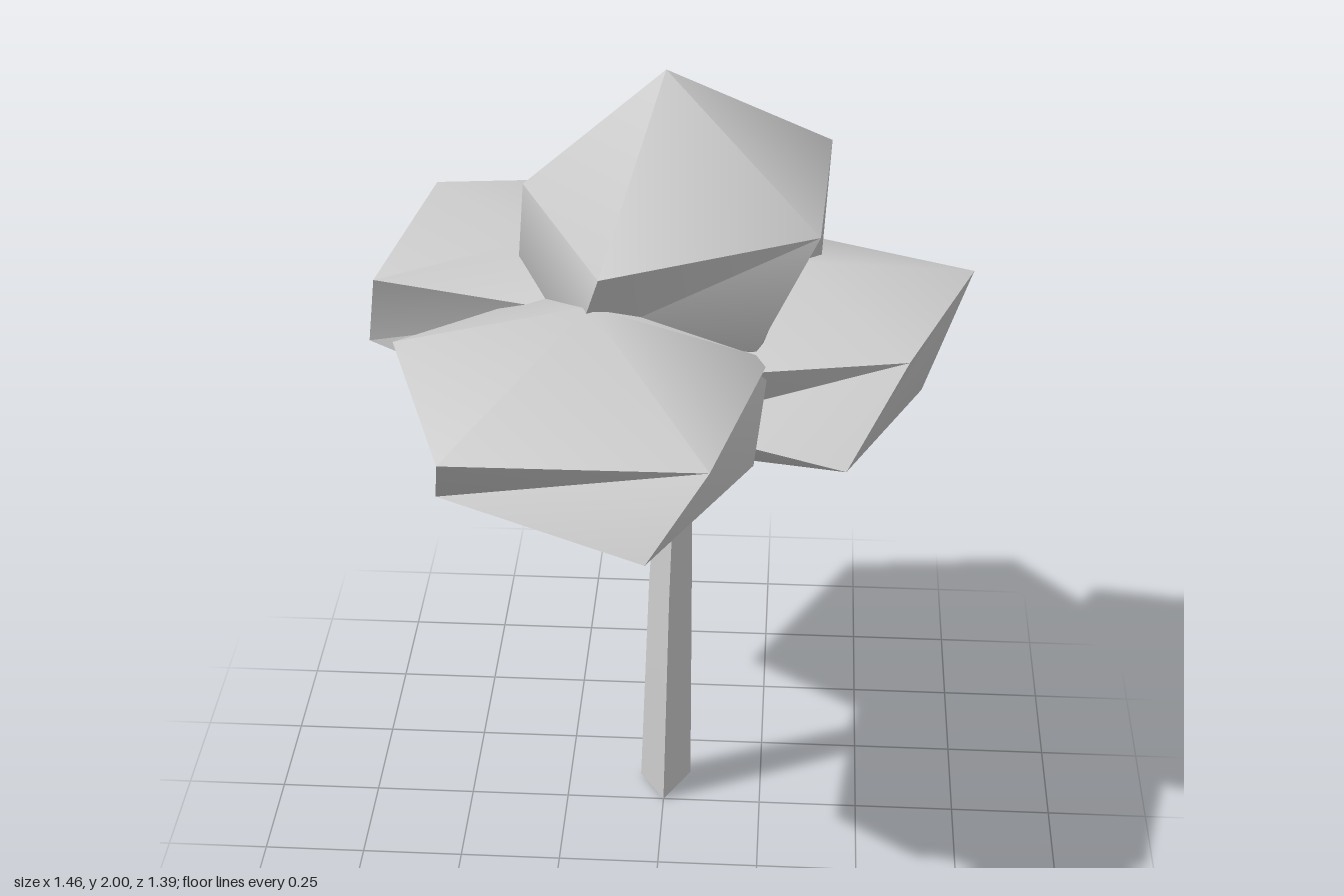
import * as THREE from 'three';
import { toCreasedNormals } from 'three/addons/utils/BufferGeometryUtils.js';

// Builds a closed solid from stacked rings [x, y, z] of equal length, between a top and a bottom point.
// Rings run from top to bottom and turn from +x towards +z.
function ringSolid(top, rings, bottom) {
  const n = rings[0].length;
  const positions = [];
  const face = (a, b, c) => positions.push(...a, ...b, ...c);
  for (let k = 0; k < n; k++) {
    const j = (k + 1) % n;
    face(top, rings[0][j], rings[0][k]);
    for (let r = 0; r + 1 < rings.length; r++) {
      const upper = rings[r], lower = rings[r + 1];
      face(upper[k], upper[j], lower[j]);
      face(upper[k], lower[j], lower[k]);
    }
    const last = rings[rings.length - 1];
    face(last[k], last[j], bottom);
  }
  const geometry = new THREE.BufferGeometry();
  geometry.setAttribute('position', new THREE.Float32BufferAttribute(positions, 3));
  return geometry;
}

// Places [x, z] outline points at one height
const level = (y, points) => points.map(([x, z]) => [x, y, z]);

// Leaf clumps: twisted five-sided solids with an upper and a lower ring
const clumps = [
  {
    name: 'topLeafClump', top: [0, 2, -0.11], bottom: [0, 1.24, -0.11], upperY: 1.71, lowerY: 1.45,
    upper: [[0.38, -0.39], [0.355, 0.125], [-0.12, 0.355], [-0.33, -0.11], [-0.11, -0.46]],
    lower: [[0.36, -0.21], [0.22, 0.18], [-0.19, 0.18], [-0.36, -0.23], [0.03, -0.44]],
  },
  {
    name: 'leftLeafClump', top: [0.29, 1.535, -0.1], bottom: [0.18, 0.99, -0.1], upperY: 1.42, lowerY: 1.2,
    upper: [[0.73, -0.295], [0.565, 0.16], [0.08, 0.25], [-0.08, -0.17], [0.28, -0.48]],
    lower: [[0.61, -0.1], [0.43, 0.28], [0, 0.1], [-0.02, -0.31], [0.37, -0.525]],
  },
  {
    name: 'frontLeafClump', top: [-0.15, 1.59, 0.25], bottom: [-0.1, 0.99, 0.13], upperY: 1.425, lowerY: 1.21,
    upper: [[0.25, 0.17], [0.135, 0.66], [-0.44, 0.665], [-0.61, 0.14], [-0.17, -0.2]],
    lower: [[0.22, 0.28], [0, 0.695], [-0.48, 0.45], [-0.43, -0.01], [-0.02, -0.15]],
  },
  {
    name: 'backLeafClump', top: [-0.28, 1.47, -0.33], bottom: [-0.17, 1.02, -0.2], upperY: 1.455, lowerY: 1.23,
    upper: [[0.17, -0.33], [-0.17, 0.04], [-0.69, -0.1], [-0.61, -0.635], [-0.14, -0.685]],
    lower: [[0.13, -0.16], [-0.34, 0.06], [-0.73, -0.21], [-0.46, -0.7], [0.09, -0.69]],
  },
];

export function createModel() {
  const model = new THREE.Group();
  model.name = 'tree';

  const paleGrey = new THREE.MeshStandardMaterial({ color: 0xcccccc });
  paleGrey.name = 'paleGrey';

  const add = (name, geometry, crease) => {
    const mesh = new THREE.Mesh(toCreasedNormals(geometry, crease), paleGrey);
    mesh.name = name;
    model.add(mesh);
  };

  // Trunk: a three-sided post that bends and narrows towards the top
  add('trunk', ringSolid([0.023, 1.01, -0.087], [
    level(1.01, [[0.065, -0.115], [0.025, -0.045], [-0.018, -0.1]]),
    level(0.62, [[0.065, -0.113], [0.013, -0.018], [-0.042, -0.1]]),
    level(0, [[0.065, -0.115], [0, 0], [-0.065, -0.1]]),
  ], [0, 0, -0.07]), 0.5);

  // Crown: smooth clumps with sharp edges only where the faces turn steeply
  for (const c of clumps) {
    add(c.name, ringSolid(c.top, [level(c.upperY, c.upper), level(c.lowerY, c.lower)], c.bottom), 1.2);
  }
  return model;
}
